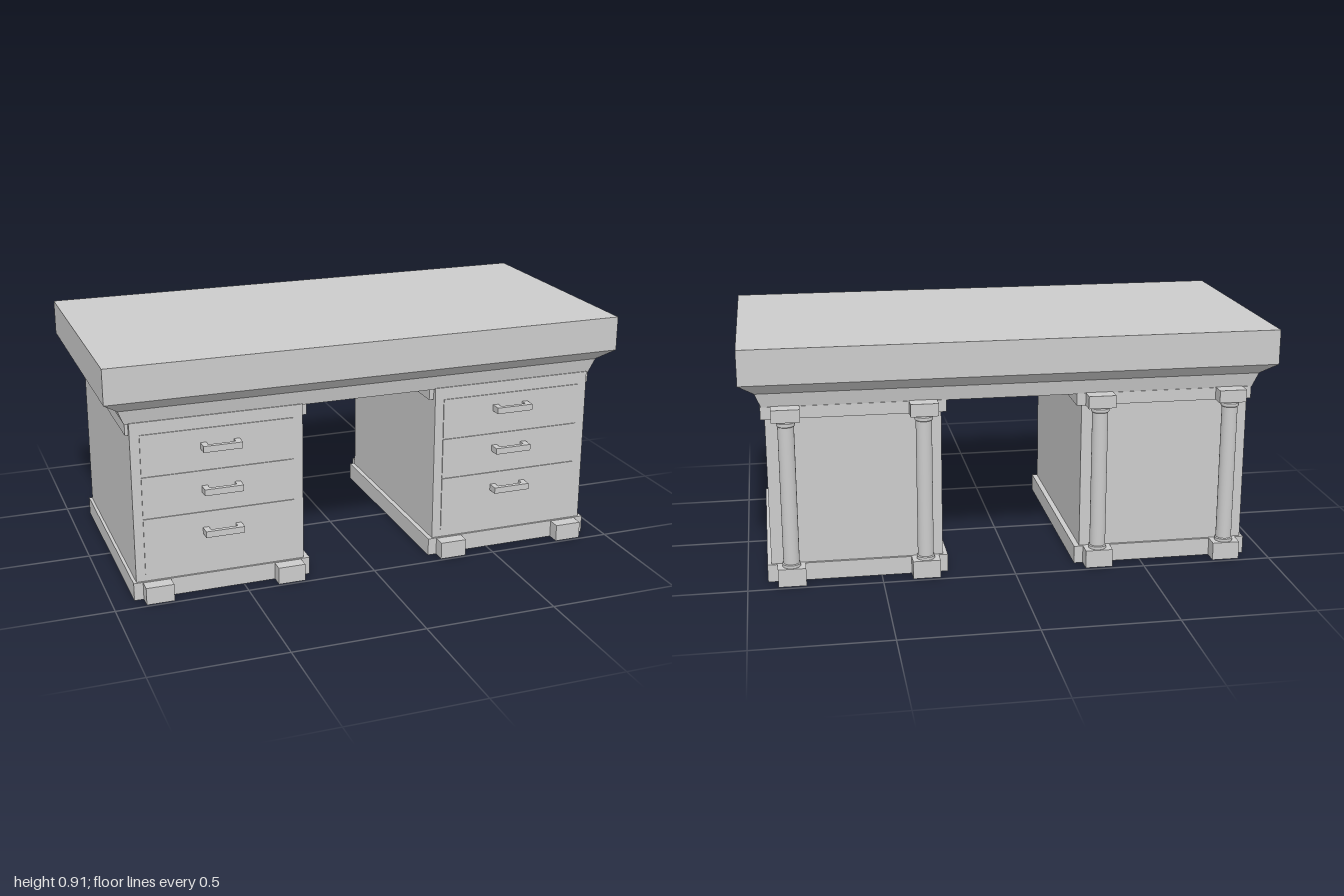
import * as THREE from 'three';

const material = new THREE.MeshStandardMaterial({ color: 0xcccccc });

function add(parent, name, geometry) {
  const mesh = new THREE.Mesh(geometry, material);
  mesh.name = name;
  parent.add(mesh);
  return mesh;
}

// Box given by its limits on each axis
function box(parent, name, [x0, x1], [y0, y1], [z0, z1]) {
  const geometry = new THREE.BoxGeometry(x1 - x0, y1 - y0, z1 - z0);
  geometry.translate((x0 + x1) / 2, (y0 + y1) / 2, (z0 + z1) / 2);
  return add(parent, name, geometry);
}

// Box whose lower face is narrower than its upper face
function taperedBox(parent, name, [y0, y1], [lowX, lowZ], [highX, highZ]) {
  const geometry = new THREE.BoxGeometry(2, y1 - y0, 2);
  geometry.translate(0, (y0 + y1) / 2, 0);
  const p = geometry.attributes.position;
  for (let i = 0; i < p.count; i++) {
    const high = p.getY(i) > (y0 + y1) / 2;
    p.setX(i, p.getX(i) * (high ? highX : lowX));
    p.setZ(i, p.getZ(i) * (high ? highZ : lowZ));
  }
  geometry.computeVertexNormals();
  return add(parent, name, geometry);
}

function addHandle(parent, x, y) {
  const handle = new THREE.Group();
  handle.name = 'drawerHandle';
  box(handle, 'handleBar', [x - 0.073, x + 0.073], [y - 0.012, y + 0.012], [0.463, 0.48]);
  for (const s of [-1, 1]) {
    const px = x + s * 0.062;
    box(handle, 'handlePost', [px - 0.011, px + 0.011], [y - 0.012, y + 0.012], [0.43, 0.465]);
  }
  parent.add(handle);
}

// Round column with a collar at each end
function addColumn(parent, x) {
  const profile = [
    [0, 0.068], [0.034, 0.068], [0.034, 0.08], [0.03, 0.083],
    [0.03, 0.61], [0.034, 0.613], [0.034, 0.625], [0.028, 0.632], [0, 0.632],
  ];
  // Each profile step is its own band so the collars keep crisp edges
  const column = new THREE.Group();
  column.name = 'column';
  for (let i = 0; i < profile.length - 1; i++) {
    const points = [profile[i], profile[i + 1]].map(([r, y]) => new THREE.Vector2(r, y));
    add(column, 'columnBand', new THREE.LatheGeometry(points, 24));
  }
  column.position.set(x, 0, -0.446);
  parent.add(column);
}

function addPedestal(parent, name, body, trim, feet, handleX, handleYs) {
  const pedestal = new THREE.Group();
  pedestal.name = name;
  box(pedestal, 'cabinet', body, [0.05, 0.68], [-0.418, 0.432]);
  box(pedestal, 'plinth', trim, [0, 0.068], [-0.428, 0.44]);
  box(pedestal, 'topTrim', trim, [0.632, 0.678], [-0.43, 0.415]);

  // Drawers, with narrow gaps between them
  const edges = [0.095, 0.313, 0.474, 0.635];
  for (let i = 0; i < 3; i++) {
    box(pedestal, 'drawerFront', [body[0] + 0.035, body[1] - 0.037],
      [edges[i] + 0.002, edges[i + 1] - 0.002], [0.42, 0.436]);
  }
  for (const y of handleYs) addHandle(pedestal, handleX, y);

  // Front feet, and rear columns standing between blocks
  for (const x of feet) {
    const span = [x - 0.052, x + 0.052];
    box(pedestal, 'frontFoot', span, [0, 0.066], [0.43, 0.49]);
    box(pedestal, 'rearFoot', span, [0, 0.069], [-0.485, -0.42]);
    box(pedestal, 'columnCapital', span, [0.632, 0.68], [-0.485, -0.42]);
    addColumn(pedestal, x);
  }
  parent.add(pedestal);
}

export function createModel() {
  const desk = new THREE.Group();
  desk.name = 'desk';

  // Desktop slab and the two-step cornice beneath it
  box(desk, 'desktop', [-1, 1], [0.775, 0.907], [-0.49, 0.49]);
  taperedBox(desk, 'upperCornice', [0.731, 0.775], [0.943, 0.438], [1, 0.49]);
  taperedBox(desk, 'lowerCornice', [0.676, 0.731], [0.92, 0.427], [0.943, 0.438]);

  addPedestal(desk, 'rightPedestal', [-0.905, -0.262], [-0.917, -0.241],
    [-0.83, -0.327], -0.577, [0.568, 0.402, 0.238]);
  addPedestal(desk, 'leftPedestal', [0.267, 0.91], [0.249, 0.925],
    [0.836, 0.335], 0.581, [0.578, 0.413, 0.25]);

  return desk;
}
